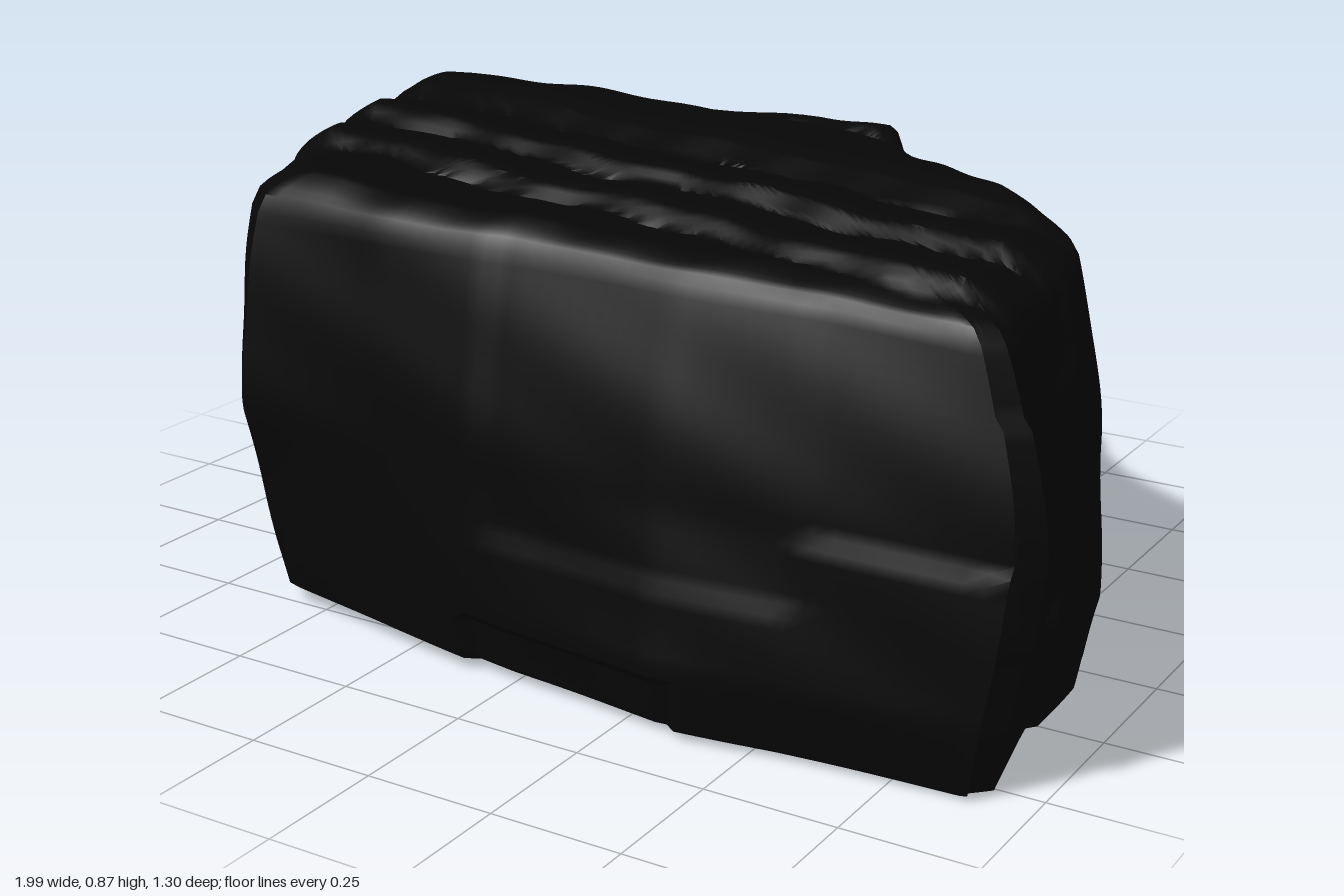
import * as THREE from 'three';
import { toCreasedNormals } from 'three/addons/utils/BufferGeometryUtils.js';

// Corners of the slab, clockwise from the left tip: x, z near the foot, at mid height and at the rim
const CORNERS = [
  [-0.9, -0.43, -0.955, -0.47, -1, -0.5], [-0.85, -0.51, -0.92, -0.55, -0.95, -0.53],
  [-0.62, -0.55, -0.67, -0.58, -0.67, -0.55], [-0.45, -0.6, -0.44, -0.625, -0.44, -0.575],
  [0, -0.655, 0, -0.645, 0, -0.59], [0.2, -0.63, 0.2, -0.62, 0.18, -0.575],
  [0.32, -0.6, 0.3, -0.575, 0.22, -0.5], [0.44, -0.4, 0.4, -0.42, 0.32, -0.39],
  [0.6, -0.3, 0.56, -0.3, 0.5, -0.28], [0.8, -0.21, 0.73, -0.19, 0.66, -0.18],
  [0.87, -0.05, 0.86, -0.03, 0.79, -0.03], [0.91, 0.1, 0.92, 0.14, 0.85, 0.14],
  [0.92, 0.3, 0.94, 0.35, 0.88, 0.3], [0.945, 0.42, 0.97, 0.45, 0.89, 0.42],
  [0.965, 0.54, 1.005, 0.54, 0.89, 0.5], [0.92, 0.585, 0.96, 0.575, 0.86, 0.53],
  [0.57, 0.62, 0.57, 0.6, 0.56, 0.54], [0.33, 0.655, 0.33, 0.63, 0.33, 0.555],
  [0, 0.625, 0, 0.615, 0, 0.555], [-0.3, 0.575, -0.3, 0.59, -0.3, 0.55],
  [-0.6, 0.52, -0.62, 0.575, -0.6, 0.52], [-0.725, 0.4, -0.69, 0.495, -0.66, 0.465],
  [-0.81, 0.05, -0.81, 0.17, -0.8, 0.2], [-0.875, -0.2, -0.87, -0.08, -0.89, -0.05],
];
const FOOT = 0.14, MIDDLE = 0.42, RIM = 0.81;

// Shallow broken plates on the front: x range, y range, depth
const FRONT_CHIPS = [
  [-0.1, 0.36, 0, 0.12, 0.02], [0.58, 1.1, 0.41, 0.9, 0.01], [-0.03, 0.58, 0.29, 0.9, 0.006],
];

// Broken plates on the right end: z range, y range, depth
const END_CHIPS = [[0.2, 0.32, 0.4, 0.64, 0.01], [0.3, 0.6, 0, 0.27, 0.015], [0.2, 0.6, 0.65, 0.9, 0.01]];

const { lerp, clamp } = THREE.MathUtils;
const inside = (v, a, b) => v >= a && v <= b;
const chipDepth = (chips, u, y) =>
  chips.reduce((sum, [a, b, c, d, depth]) => sum + (inside(u, a, b) && inside(y, c, d) ? depth : 0), 0);

// Wall position of one corner at a height, bulging towards the rim
function cornerAt(c, y) {
  const low = y < MIDDLE;
  const t = low ? clamp((y - FOOT) / (MIDDLE - FOOT), 0, 1) : clamp((y - MIDDLE) / (RIM - MIDDLE), 0, 1) ** 1.7;
  const k = low ? 0 : 2;
  return [lerp(c[k], c[k + 2], t), lerp(c[k + 1], c[k + 3], t)];
}

// Tilted layers with a ledge where one layer breaks off
const LEDGES = [-0.85, -0.5, -0.1, 0.12, 0.34, 0.8];
function topHeight(x, z) {
  const s = z - 0.17 * x + 0.012 * Math.sin(x * 9) + 0.006 * Math.sin(x * 23 + 1);
  let i = 0;
  while (i < LEDGES.length - 2 && s > LEDGES[i + 1]) i++;
  const t = (s - LEDGES[i]) / (LEDGES[i + 1] - LEDGES[i]);
  const layer = clamp(Math.min(t * 1.6, (1 - t) / 0.18), 0, 1);
  const chips = 0.003 * Math.sin(x * 13 + i * 2) + 0.002 * Math.sin(x * 29 + z * 17);
  return 0.834 - 0.018 * x + 0.026 * layer + chips;
}

const bottomHeight = x => 0.0225 - 0.0195 * x;
const rimHeight = x => 0.8 - 0.03 * x * x;

function rockGeometry() {
  const steps = 10, n = CORNERS.length * steps;

  // Rows climb from the middle of the base, up the walls, to the middle of the top
  const rows = [];
  for (const r of [0, 0.5, 0.9, 0.98]) rows.push({ r, wall: 0 });
  for (let i = 0; i <= 36; i++) rows.push({ r: 1, wall: Math.max(i / 36, 0.015) });
  for (let i = 1; i <= 50; i++) rows.push({ r: 1 - i / 50, wall: 1, top: true });

  const pos = [], index = [];
  rows.forEach(({ r, wall, top }, row) => {
    for (let j = 0; j < n; j++) {
      const i = Math.floor(j / steps), f = (j % steps) / steps;
      const a = CORNERS[i], b = CORNERS[(i + 1) % CORNERS.length];
      const midX = lerp(a[2], b[2], f);
      let y = lerp(bottomHeight(midX), rimHeight(midX), wall);
      const [ax, az] = cornerAt(a, y), [bx, bz] = cornerAt(b, y);
      let x = lerp(ax, bx, f), z = lerp(az, bz, f);

      // Gentle unevenness, the foot tucked in, and a groove low on the back
      let dent = 0.004 * (1 + Math.sin(x * 11 + y * 9) * Math.sin(z * 13 - y * 15));
      dent += 0.035 * clamp(1 - y / FOOT, 0, 1);
      if (i < 7) dent += 0.03 * Math.exp(-(((y - 0.28) / 0.05) ** 2));

      // Broken plates on the front and the right end
      const front = i >= 15 && i < 20 ? chipDepth(FRONT_CHIPS, x, y) : 0;
      const end = i >= 9 && i < 15 ? chipDepth(END_CHIPS, z, y) : 0;
      x = (x * (1 - dent) - end) * r;
      z = (z * (1 - dent) - front) * r;

      if (top) y = lerp(rimHeight(midX), topHeight(x, z), Math.sqrt(Math.min(1, (1 - r) / 0.12)));
      else if (r < 1) y = bottomHeight(x);
      pos.push(x, y, z);
      if (row > 0) {
        const k = (j + 1) % n, lo = (row - 1) * n, hi = row * n;
        index.push(lo + j, hi + j, lo + k, lo + k, hi + j, hi + k);
      }
    }
  });

  const geo = new THREE.BufferGeometry();
  geo.setAttribute('position', new THREE.Float32BufferAttribute(pos, 3));
  geo.setIndex(index);
  return toCreasedNormals(geo, 0.6);
}

export function createModel() {
  const group = new THREE.Group();
  group.name = 'rock';
  const stone = new THREE.MeshStandardMaterial({ color: 0x070707 });
  stone.name = 'black stone';
  const slab = new THREE.Mesh(rockGeometry(), stone);
  slab.name = 'layeredRockSlab';
  group.add(slab);
  return group;
}
